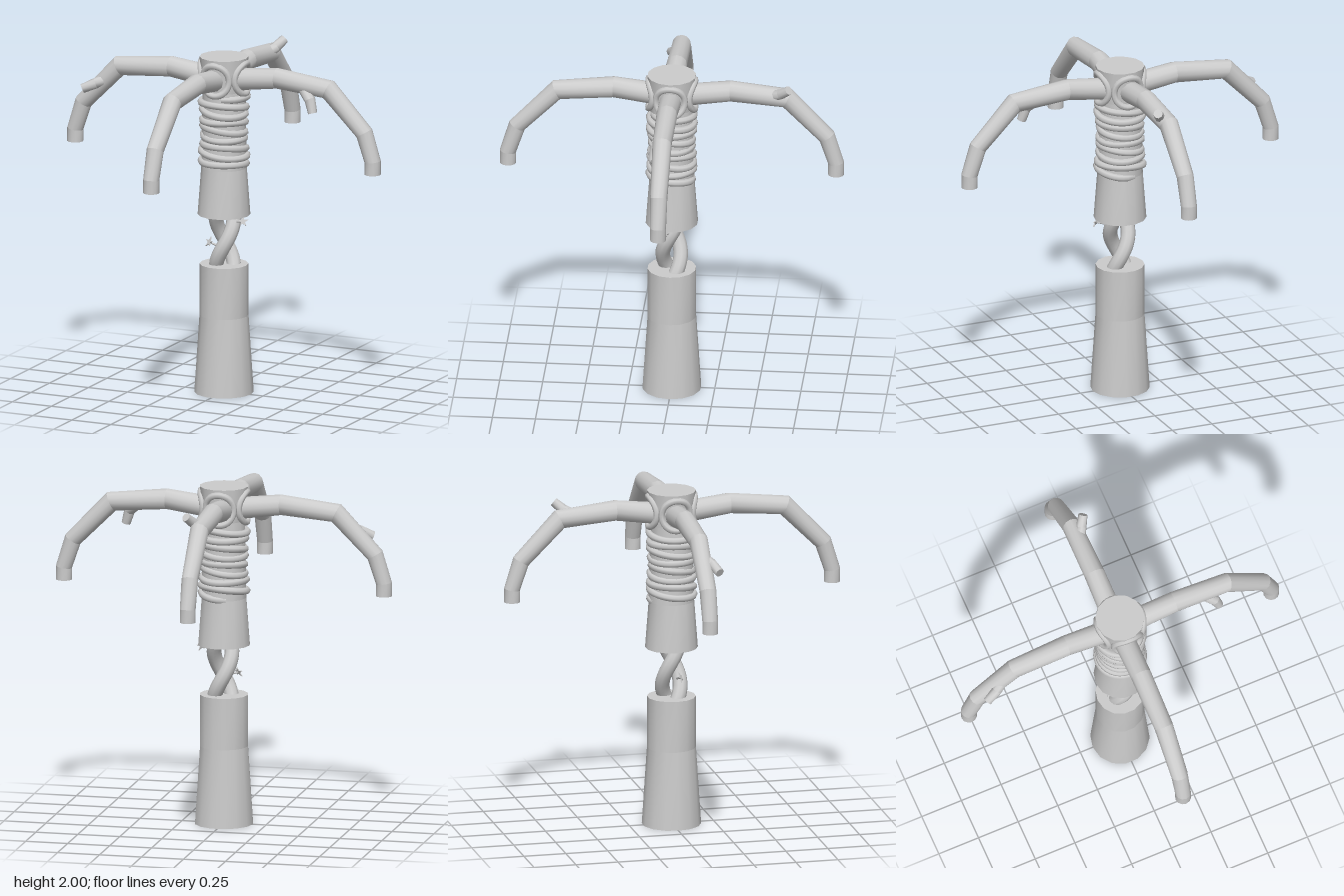
import * as THREE from 'three';

const V = (x, y, z) => new THREE.Vector3(x, y, z);
const grey = new THREE.MeshStandardMaterial({ color: 0xcccccc });
const greyThin = new THREE.MeshStandardMaterial({ color: 0xcccccc, side: THREE.DoubleSide });

function part(name, geometry, material = grey) {
  const mesh = new THREE.Mesh(geometry, material);
  mesh.name = name;
  return mesh;
}

// Capped round limb along a polyline: mitred bends, smooth around, creased between segments
function limb(points, radii, sides, ref) {
  const n = points.length;
  const dirs = points.slice(1).map((p, i) => p.clone().sub(points[i]).normalize());
  const rings = points.map((p, i) => {
    const a = dirs[Math.max(i - 1, 0)], b = dirs[Math.min(i, n - 2)];
    const t = a.clone().add(b).normalize();
    const side = ref.clone().addScaledVector(t, -ref.dot(t)).normalize();
    const bin = t.clone().cross(side).divideScalar(a.dot(t));
    return Array.from({ length: sides }, (_, j) => {
      const ang = (j / sides) * Math.PI * 2;
      return p.clone()
        .addScaledVector(side, Math.cos(ang) * radii[i])
        .addScaledVector(bin, Math.sin(ang) * radii[i]);
    });
  });
  const pos = [], idx = [];
  const add = (ring) => {
    const start = pos.length / 3;
    ring.forEach((v) => pos.push(v.x, v.y, v.z));
    return start;
  };
  for (let i = 0; i < n - 1; i++) {
    const a = add(rings[i]), b = add(rings[i + 1]);
    for (let j = 0; j < sides; j++) {
      const k = (j + 1) % sides;
      idx.push(a + j, a + k, b + k, a + j, b + k, b + j);
    }
  }
  const s = add(rings[0]), e = add(rings[n - 1]);
  for (let j = 1; j < sides - 1; j++) idx.push(s, s + j + 1, s + j, e, e + j, e + j + 1);
  const g = new THREE.BufferGeometry();
  g.setAttribute('position', new THREE.Float32BufferAttribute(pos, 3));
  g.setIndex(idx);
  g.computeVertexNormals();
  return g;
}

// Smooth cord through a point rule f(t), t in 0..1
function cord(f, samples, radius, segments, sides, closed = false) {
  const count = closed ? samples : samples + 1;
  const pts = Array.from({ length: count }, (_, i) => f(i / samples));
  return new THREE.TubeGeometry(new THREE.CatmullRomCurve3(pts, closed), segments, radius, sides, closed);
}

// Small pointed leaf
function leaf(name, x, y, z, rx, ry, rz) {
  const shape = new THREE.Shape();
  for (let i = 0; i < 10; i++) {
    const a = (i / 10) * Math.PI * 2, r = i % 2 ? 0.013 : 0.032 + 0.008 * Math.cos(a);
    if (i === 0) shape.moveTo(r, 0);
    else shape.lineTo(r * Math.cos(a), r * Math.sin(a));
  }
  const g = new THREE.ExtrudeGeometry(shape, { depth: 0.006, bevelEnabled: false });
  const m = part(name, g);
  m.position.set(x, y, z);
  m.rotation.set(rx, ry, rz);
  return m;
}

export function createModel() {
  const model = new THREE.Group();
  model.name = 'branchedPost';
  const xAxis = V(1, 0, 0), zAxis = V(0, 0, 1);

  // Lower and upper trunk sections
  model.add(part('lowerTrunk', limb([V(0, 0, 0), V(0, 0.46, 0), V(0, 0.765, 0)], [0.172, 0.142, 0.142], 14, xAxis)));
  model.add(part('upperTrunk', limb(
    [V(0, 1.06, 0), V(0, 1.34, 0), V(0, 1.8, 0), V(0, 2, 0)],
    [0.153, 0.132, 0.125, 0.142], 14, xAxis)));

  // Two strands twisted around each other between the sections
  for (let i = 0; i < 2; i++) {
    const twist = (t) => {
      const y = 0.72 + t * 0.4;
      const a = Math.PI / 2 - ((y - 0.85) / 0.15) * (Math.PI / 2) + i * Math.PI;
      return V(0.052 * Math.cos(a) + 0.006, y, 0.052 * Math.sin(a));
    };
    model.add(part('twistedStrand', cord(twist, 12, 0.043, 20, 10), greyThin));
  }

  // Leaves on the strands, each with a stem
  model.add(leaf('leftLeaf', 0.135, 1.035, 0.03, -0.4, 0.6, 0.5));
  model.add(leaf('rightLeaf', -0.075, 0.89, 0.035, -0.5, -0.5, 2.6));
  model.add(part('leafStem', limb([V(0.06, 1.02, 0), V(0.135, 1.035, 0.03)], [0.008, 0.005], 6, zAxis)));
  model.add(part('leafStem', limb([V(-0.01, 0.87, 0.03), V(-0.075, 0.89, 0.035)], [0.008, 0.005], 6, zAxis)));

  // Four drooping arms
  const profile = [[0, 1.86], [0.34, 1.904], [0.67, 1.872], [0.9, 1.635], [0.953, 1.47], [0.953, 1.395]];
  const radii = [0.066, 0.061, 0.056, 0.05, 0.047, 0.047];
  for (let i = 0; i < 4; i++) {
    const arm = part('arm', limb(profile.map(([x, y]) => V(x, y, 0)), radii, 12, zAxis));
    arm.rotation.y = (i * Math.PI) / 2;
    if (i % 2) arm.position.x = -0.014;
    model.add(arm);
  }

  // Broken twigs on three of the arms
  const twigs = [
    [V(0.51, 1.87, 0.01), V(0.575, 1.81, 0.05), V(0.597, 1.735, 0.06)],
    [V(-0.74, 1.79, 0.01), V(-0.8, 1.765, 0.05), V(-0.87, 1.732, 0.078)],
    [V(-0.01, 1.88, -0.57), V(0.03, 1.915, -0.635), V(0.062, 1.957, -0.685)],
  ];
  for (const path of twigs) {
    model.add(part('twig', limb(path, [0.034, 0.031, 0.027], 8, V(0.3, 0.2, 0.9))));
  }

  // Cord coiled around the upper trunk, with a slight hand-wound wobble
  const turns = 8.5;
  const coil = (t) => {
    const a = t * turns * Math.PI * 2 - Math.PI * 0.6;
    const end = Math.min(1, Math.min(t, 1 - t) * 60);
    const r = 0.105 + 0.022 * end + 0.006 * Math.cos(t * 6.28) + 0.003 * Math.sin(a * 2.3);
    return V(r * Math.cos(a), 1.35 + t * 0.42 + 0.008 * Math.sin(a * 1.4 + 1), r * Math.sin(a));
  };
  model.add(part('coiledCord', cord(coil, 140, 0.021, 280, 7), greyThin));

  // Cord loops hugging the root of each arm
  for (let i = 0; i < 4; i++) {
    const loop = (t) => {
      const a = t * Math.PI * 2, phi = 0.66 * Math.cos(a), r = 0.136;
      return V(r * Math.cos(phi), 1.88 + 0.09 * Math.sin(a), r * Math.sin(phi));
    };
    const ring = part('armLashing', cord(loop, 16, 0.019, 32, 7, true));
    ring.rotation.y = (i * Math.PI) / 2;
    model.add(ring);
  }
  return model;
}
